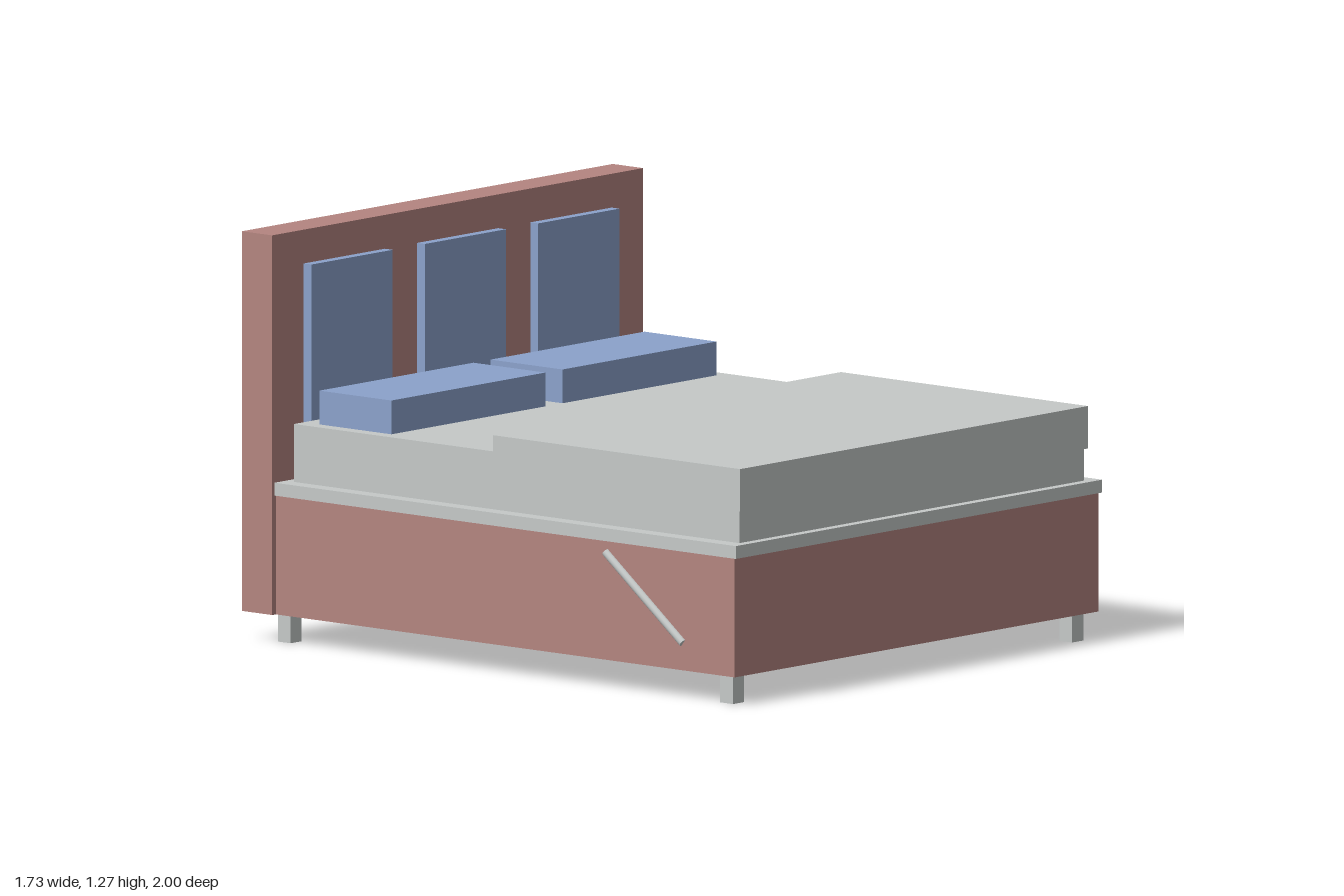
import * as THREE from 'three';

export function createModel() {
  const bed = new THREE.Group();
  bed.name = 'bed';

  const material = (name, color) => {
    const m = new THREE.MeshStandardMaterial({ color });
    m.name = name;
    return m;
  };
  const rose = material('rose upholstery', 0xb48580);
  const grey = material('light grey', 0xc5c9c8);
  const blue = material('soft blue', 0x8ba2cb);

  // Box given by its lower and upper limits on each axis
  const box = (name, mat, [x0, x1], [y0, y1], [z0, z1]) => {
    const mesh = new THREE.Mesh(new THREE.BoxGeometry(x1 - x0, y1 - y0, z1 - z0), mat);
    mesh.position.set((x0 + x1) / 2, (y0 + y1) / 2, (z0 + z1) / 2);
    mesh.name = name;
    bed.add(mesh);
    return mesh;
  };

  // Frame
  box('headboard', rose, [-0.867, 0.867], [0.09, 1.27], [-1, -0.877]);
  box('storageBase', rose, [-0.85, 0.85], [0.09, 0.46], [-0.877, 0.99]);
  box('platform', grey, [-0.856, 0.856], [0.46, 0.5], [-0.877, 1]);

  // Bedding
  box('mattress', grey, [-0.805, 0.805], [0.5, 0.68], [-0.842, 0.97]);
  box('blanket', grey, [-0.813, 0.813], [0.6, 0.732], [-0.025, 0.98]);

  // Headboard cushions
  for (const x of [-0.53, 0, 0.53]) {
    box('headboardPanel', blue, [x - 0.19, x + 0.19], [0.5, 1.165], [-0.877, -0.845]);
  }

  for (const [side, s] of [['left', 1], ['right', -1]]) {
    box(side + 'Pillow', blue, [s * 0.4 - 0.36, s * 0.4 + 0.36], [0.68, 0.785], [-0.778, -0.485]);

    // Square feet
    for (const [end, z] of [['Front', 0.93], ['Back', -0.87]]) {
      box(side + end + 'Foot', grey, [s * 0.793 - 0.026, s * 0.793 + 0.026], [0, 0.09], [z - 0.026, z + 0.026]);
    }

    // Slanted gas strut half sunk in the side of the base
    const low = new THREE.Vector3(s * 0.85, 0.175, 0.78);
    const high = new THREE.Vector3(s * 0.85, 0.425, 0.465);
    const axis = high.clone().sub(low);
    const strut = new THREE.Mesh(new THREE.CylinderGeometry(0.013, 0.013, axis.length(), 12), grey);
    strut.position.copy(low).add(high).multiplyScalar(0.5);
    strut.quaternion.setFromUnitVectors(new THREE.Vector3(0, 1, 0), axis.normalize());
    strut.name = side + 'LiftStrut';
    bed.add(strut);
  }

  return bed;
}
